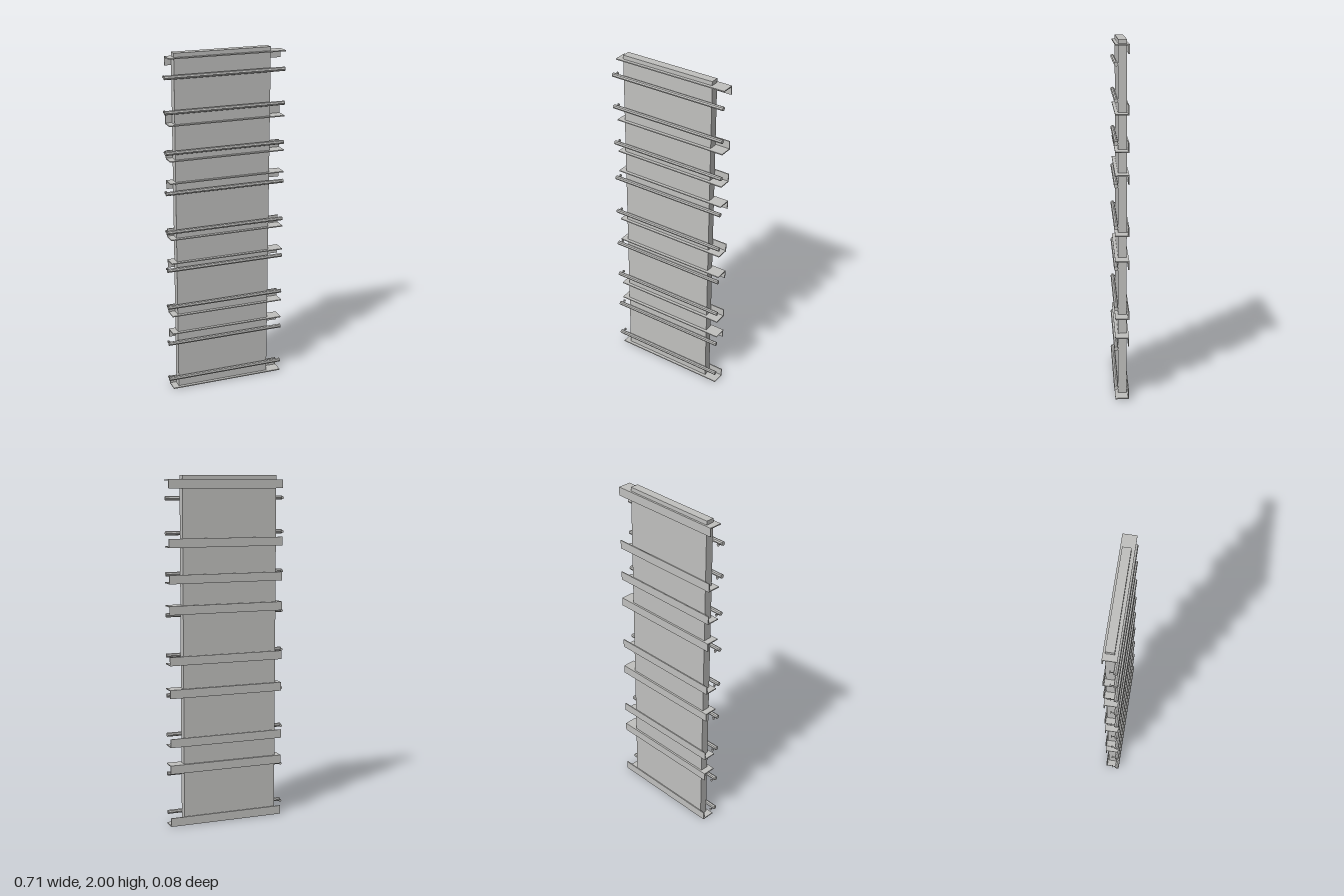
import * as THREE from 'three';

export function createModel() {
  const model = new THREE.Group();
  model.name = 'panelWithRails';
  const grey = new THREE.MeshStandardMaterial({ color: 0xc0c0be });
  grey.name = 'light grey';
  grey.flatShading = true;

  const add = (parent, name, geometry, x, y, z) => {
    const mesh = new THREE.Mesh(geometry, grey);
    mesh.name = name;
    mesh.position.set(x, y, z);
    parent.add(mesh);
    return mesh;
  };

  // Tall flat panel
  add(model, 'panel', new THREE.BoxGeometry(0.565, 2, 0.048), -0.0105, 1, -0.009);

  // L-shaped rails: [flange height, direction of the back leg]
  const T = 0.006, LEG = 0.05, BACK = -0.044, FRONT = 0.033;
  const profile = new THREE.Shape([
    [BACK, 0], [FRONT, 0], [FRONT, T], [BACK + T, T], [BACK + T, LEG], [BACK, LEG],
  ].map(([z, y]) => new THREE.Vector2(-z, y)));
  const railGeo = new THREE.ExtrudeGeometry(profile, { depth: 0.685, bevelEnabled: false });
  railGeo.rotateY(Math.PI / 2); // length along x, profile x becomes -z
  railGeo.translate(-0.3295, 0, 0);

  // Same rail turned over, with the flange on top
  const hangingGeo = railGeo.clone().rotateZ(Math.PI).translate(0.026, 0, 0);

  const rails = [
    [0.002, 1], [0.363, -1], [0.468, 1], [0.802, -1], [0.94, 1],
    [1.278, -1], [1.401, 1], [1.602, 1], [1.977, -1],
  ];
  rails.forEach(([y, dir]) =>
    add(model, 'angleRail', dir > 0 ? railGeo : hangingGeo, 0, y, 0));

  // Round bars across the front, each with a headed pin at its right end
  const barGeo = new THREE.CylinderGeometry(0.012, 0.012, 0.708, 8).rotateZ(Math.PI / 2);
  const stemGeo = new THREE.CylinderGeometry(0.0025, 0.0025, 0.02, 8).rotateX(Math.PI / 2);
  const headGeo = new THREE.CylinderGeometry(0.008, 0.008, 0.004, 8).rotateX(Math.PI / 2);
  [0.07, 0.3, 0.53, 0.76, 0.99, 1.22, 1.452, 1.68, 1.873].forEach((y) => {
    const bar = new THREE.Group();
    bar.name = 'barWithPin';
    bar.position.y = y;
    add(bar, 'bar', barGeo, -0.001, 0, 0.028);
    add(bar, 'pinStem', stemGeo, -0.3465, 0, 0.009);
    add(bar, 'pinHead', headGeo, -0.3465, 0, -0.002);
    model.add(bar);
  });

  return model;
}
